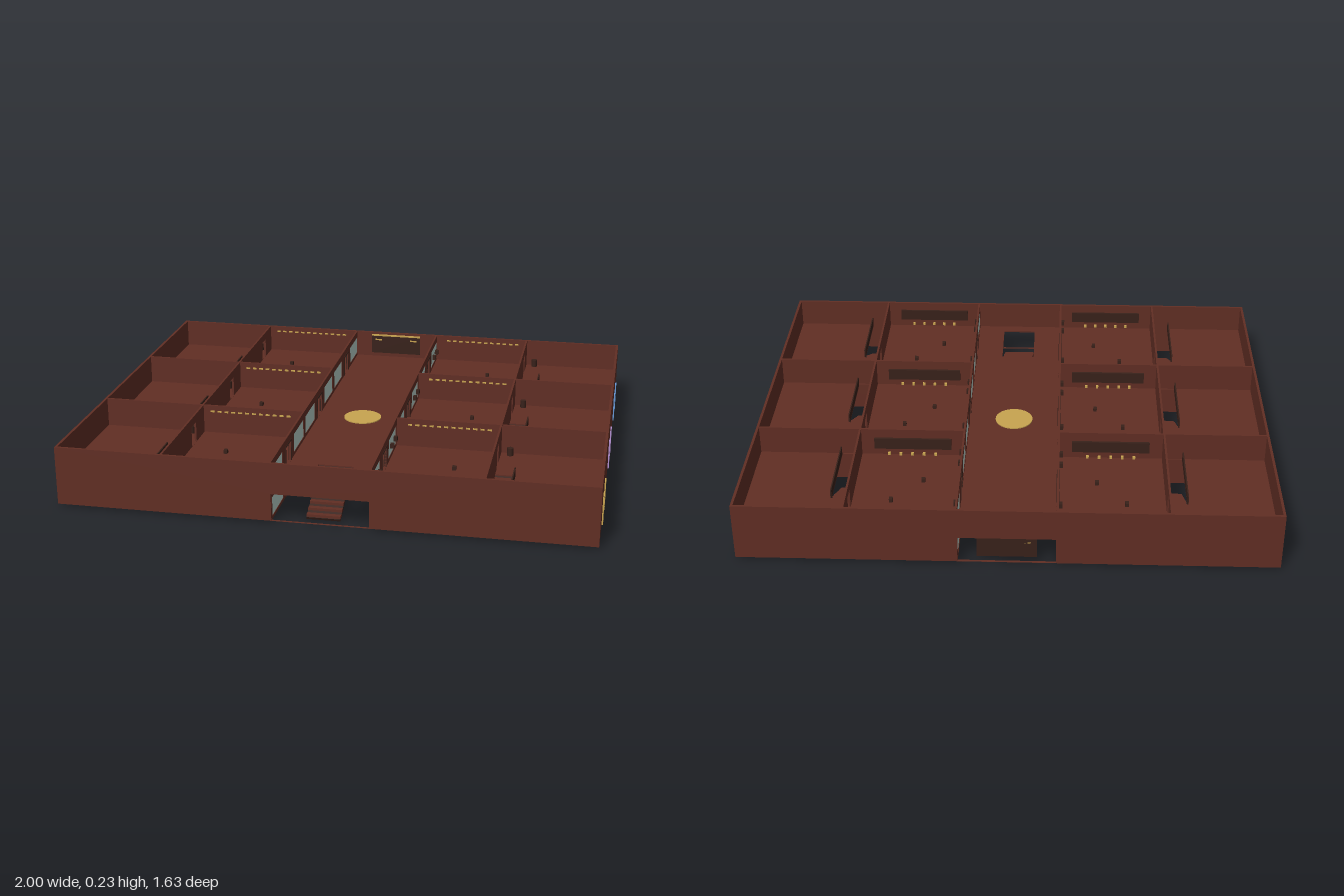
import * as THREE from 'three';

const mat = (name, hex, side = THREE.FrontSide) => {
  const m = new THREE.MeshStandardMaterial({ color: hex, side });
  m.name = name;
  return m;
};

export function createModel() {
  const root = new THREE.Group();
  root.name = 'twoStoreyBuilding';
  const brown = mat('brown wall', 0x612e24);
  const dark = mat('dark wood', 0x38211a);
  const gold = mat('gold', 0xc8a450);
  const glass = mat('pale glass', 0xb9d3cb);
  const purple = mat('purple', 0xb28fd0);
  const blue = mat('blue', 0x6699d6);
  const red = mat('red', 0xc4584f);
  const green = mat('green', 0x62a866);

  const add = (name, geo, m, parent = root) => {
    const mesh = new THREE.Mesh(geo, m);
    mesh.name = name;
    parent.add(mesh);
    return mesh;
  };
  const box = (name, m, w, h, d, x, y, z, parent = root) => {
    const b = add(name, new THREE.BoxGeometry(w, h, d), m, parent);
    b.position.set(x, y, z);
    return b;
  };
  const rectPath = (P, u0, v0, u1, v1) => {
    const p = new P();
    p.moveTo(u0, v0); p.lineTo(u1, v0); p.lineTo(u1, v1); p.lineTo(u0, v1); p.closePath();
    return p;
  };
  // Thin plate with rectangular holes, each given as [u0, v0, u1, v1]
  const plate = (u0, v0, u1, v1, t, holes) => {
    const s = rectPath(THREE.Shape, u0, v0, u1, v1);
    holes.forEach(h => s.holes.push(rectPath(THREE.Path, ...h)));
    return new THREE.ExtrudeGeometry(s, { depth: t, bevelEnabled: false }).translate(0, 0, -t / 2);
  };
  const wallX = (name, z, x0, x1, y0, y1, t = 0.008, holes = []) => {
    add(name, plate(x0, y0, x1, y1, t, holes), brown).position.z = z;
  };
  const wallZ = (name, x, z0, z1, y0, y1, t = 0.008, holes = []) => {
    add(name, plate(z0, y0, z1, y1, t, holes).rotateY(-Math.PI / 2), brown).position.x = x;
  };

  const BASE = 0.01, FLOOR = 0.12, TOP = 0.235, X = 0.99, Z = 0.81;
  const rooms = [-0.543, 0, 0.543];
  const storeys = [BASE, FLOOR + 0.003];
  const sides = [-1, 1];

  // Outer shell: wide hall openings front and back, one door per outer room
  const hall = [[-0.18, BASE + 0.0005, 0.18, 0.115]];
  wallX('frontWall', Z, -X, X, BASE, TOP, 0.01, hall);
  wallX('backWall', -Z, -X, X, BASE, TOP, 0.01, hall);
  const doors = rooms.map(c => [c - 0.03, BASE + 0.0005, c + 0.03, 0.083]);
  sides.forEach(s => wallZ('sideWall', s * X, -Z - 0.005, Z + 0.005, BASE, TOP, 0.01, doors));

  // Upper floor with stairwell holes
  const wells = [[-0.068, 0.525, 0.068, 0.763]];
  sides.forEach(s => rooms.forEach(c => {
    const a = s * 0.594, b = s * 0.665;
    wells.push([Math.min(a, b), c - 0.045, Math.max(a, b), c + 0.262]);
  }));
  add('upperFloor', plate(-X, -Z, X, Z, 0.006, wells).rotateX(Math.PI / 2), brown).position.y = FLOOR;
  add('hallMedallion', new THREE.CylinderGeometry(0.075, 0.075, 0.004, 32), gold).position.set(0, 0.125, 0);

  // Stair: sloping slab with treads, descending towards +z
  const stair = (x, z0, z1, w) => {
    const g = new THREE.Group();
    g.name = 'stair';
    root.add(g);
    const run = z1 - z0, rise = 0.11, n = 8;
    const slab = box('stairSlab', dark, w, 0.01, Math.hypot(run, rise), x, 0.06, (z0 + z1) / 2, g);
    slab.rotation.x = Math.atan2(rise, run);
    for (let i = 0; i < n; i++) {
      const k = (i + 0.5) / n;
      box('tread', brown, w, 0.012, run / n, x, 0.062 + rise * (0.5 - k), z0 + run * k, g);
    }
  };
  stair(0, 0.525, 0.755, 0.126);

  const roomColours = { '-1': [red, gold, green], '1': [blue, purple, gold] };

  sides.forEach(s => {
    storeys.forEach((y0, level) => {
      const y1 = level ? TOP : FLOOR - 0.003;
      // Cross walls between the rooms
      [-0.272, 0.272].forEach(z =>
        wallX('crossWall', z, Math.min(s * 0.18, s * X), Math.max(s * 0.18, s * X), y0, y1));
      // Hall wall with doors and glazing, then the wall between inner and outer rooms
      const openings = [], inner = [];
      rooms.forEach(c => {
        openings.push([c - 0.04, y0 + 0.0005, c + 0.04, y0 + 0.08]);
        sides.forEach(q => {
          const a = c + q * 0.09, b = c + q * 0.255;
          openings.push([Math.min(a, b), y0 + 0.012, Math.max(a, b), y0 + 0.085]);
        });
        inner.push([c - 0.16, y0 + 0.0005, c - 0.1, y0 + 0.08]);
      });
      wallZ('hallWall', s * 0.183, -Z, Z, y0, y1, 0.008, openings);
      wallZ('innerWall', s * 0.59, -Z, Z, y0, y1, 0.008, inner);

      rooms.forEach(c => {
        sides.forEach(q => {
          box('glassPane', glass, 0.004, 0.073, 0.165, s * 0.183, y0 + 0.0485, c + q * 0.1725);
          box('doorJamb', dark, 0.012, 0.085, 0.006, s * 0.183, y0 + 0.0425, c + q * 0.043);
          // Small brackets beside the glazing
          [0.135, 0.21].forEach(d =>
            box('bracket', dark, 0.014, 0.018, 0.018, s * 0.193, y0 + 0.05, c + q * d));
        });
        box('doorLintel', dark, 0.012, 0.006, 0.092, s * 0.183, y0 + 0.083, c);
        // Wall board with a row of knobs, and a gold row on the opposite wall
        box('wallBoard', dark, 0.3, 0.045, 0.01, s * 0.385, y0 + 0.055, c + 0.258);
        for (let i = 0; i < 5; i++)
          box('knob', gold, 0.01, 0.01, 0.01, s * (0.295 + i * 0.045), y0 + 0.025, c + 0.232);
        for (let i = 0; i < 12; i++)
          box('goldStud', gold, 0.016, 0.006, 0.004, s * (0.24 + i * 0.028), y0 + 0.09, c - 0.261);
        // Small stands on the room floor and a post in the outer room
        [[0.44, -0.06], [0.33, 0.078]].forEach(([x, dz]) =>
          box('stand', dark, 0.014, 0.014, 0.018, s * x, y0 + 0.008, c + dz));
        add('post', new THREE.CylinderGeometry(0.012, 0.012, 0.03, 12), dark)
          .position.set(s * 0.63, y0 + 0.016, c - 0.243);
      });
    });

    rooms.forEach((c, i) => {
      const colour = roomColours[s][i];
      stair(s * 0.629, c - 0.045, c + 0.178, 0.07);
      box('stairRail', dark, 0.005, 0.035, 0.305, s * 0.667, FLOOR + 0.02, c + 0.108);
      // Outside door: coloured pillars, dark frame and coloured lintel strip
      sides.forEach(q => {
        box('doorPillar', colour, 0.007, 0.113, 0.035, s * 0.9965, 0.0675, c + q * 0.067);
        box('doorFrame', dark, 0.014, 0.075, 0.006, s * X, 0.0475, c + q * 0.03);
      });
      box('doorFrameTop', dark, 0.014, 0.006, 0.066, s * X, 0.083, c);
      box('doorStrip', colour === purple ? blue : colour, 0.005, 0.006, 0.062, s * 0.9965, 0.09, c);
      // Coloured light strips under the ceiling of the outer room
      sides.forEach(q => {
        box('ceilingStrip', colour, 0.3, 0.005, 0.005, s * 0.82, 0.112, c + q * 0.22);
        box('ceilingStrip', colour, 0.005, 0.005, 0.44, s * (0.82 + q * 0.15), 0.112, c);
      });
    });
  });

  // Hall end boards with gold trim
  storeys.forEach((y0, level) => {
    box('endBoard', dark, 0.22, 0.085, 0.006, 0, y0 + 0.06, -0.8);
    if (level) box('endBoardTrim', gold, 0.22, 0.006, 0.008, 0, y0 + 0.1, -0.799);
    sides.forEach(s => box('endBoardStripe', gold, 0.03, 0.006, 0.008, s * 0.08, y0 + 0.08, -0.799));
  });

  return root;
}
